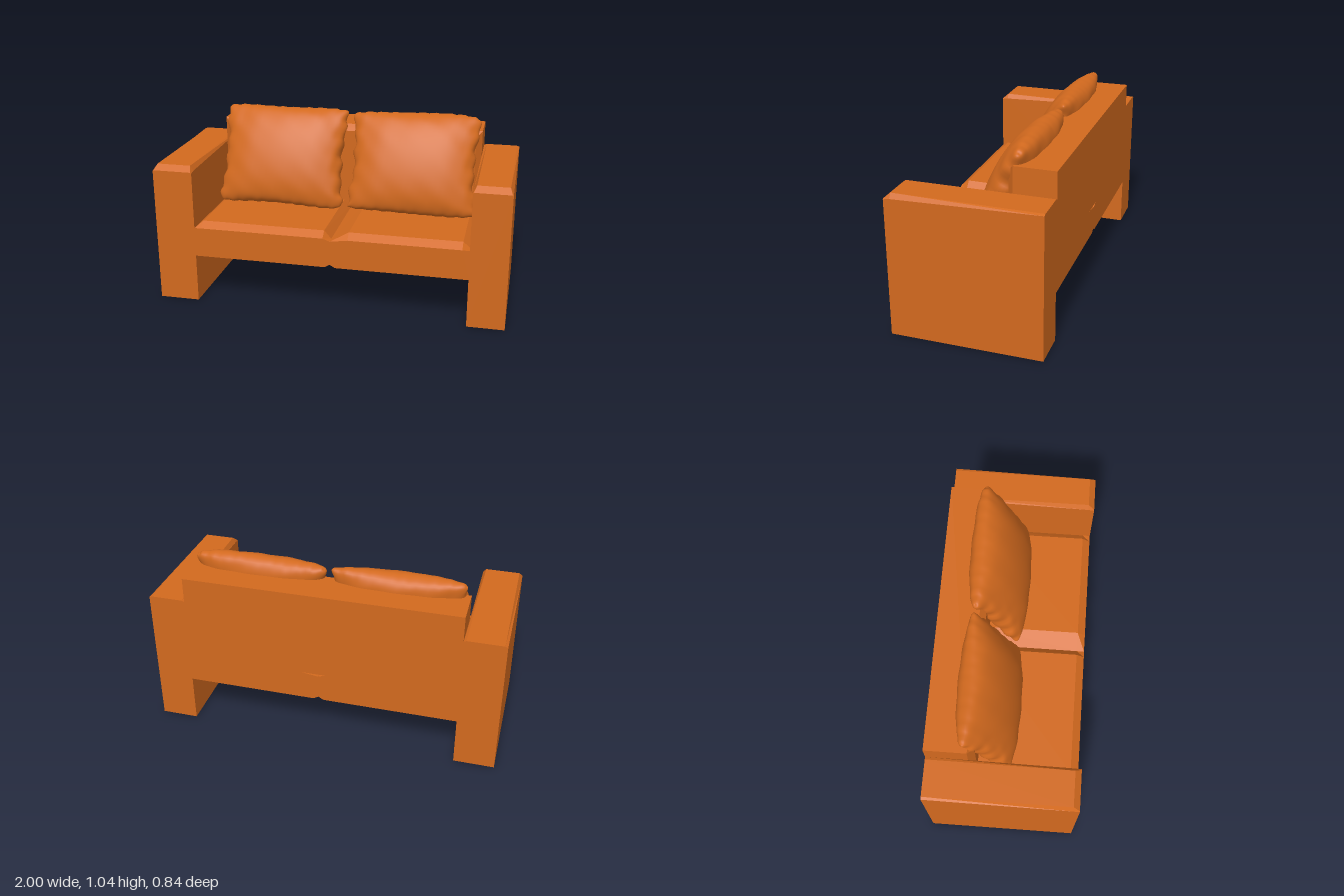
import * as THREE from 'three';
import { mergeGeometries, mergeVertices } from 'three/addons/utils/BufferGeometryUtils.js';

// Solid through outlines (anticlockwise, x/y) placed at increasing z, with flat faces
function loft(sections) {
  const pos = [];
  const put = (s, i) => {
    const p = s.pts[i % s.pts.length];
    pos.push(p[0], p[1], s.z);
  };
  for (let k = 0; k < sections.length - 1; k++) {
    const a = sections[k], b = sections[k + 1];
    for (let i = 0; i < a.pts.length; i++) {
      put(a, i); put(a, i + 1); put(b, i + 1);
      put(a, i); put(b, i + 1); put(b, i);
    }
  }
  const cap = (s, front) => {
    const contour = s.pts.map(p => new THREE.Vector2(p[0], p[1]));
    for (const [a, b, c] of THREE.ShapeUtils.triangulateShape(contour, [])) {
      for (const i of front ? [a, b, c] : [a, c, b]) put(s, i);
    }
  };
  cap(sections[0], false);
  cap(sections[sections.length - 1], true);
  const g = new THREE.BufferGeometry();
  g.setAttribute('position', new THREE.Float32BufferAttribute(pos, 3));
  g.computeVertexNormals();
  return g;
}

// Arm outline: edge is the height of the sides, inset narrows the top
const armOutline = (x0, x1, edge, top, inset) => [
  [x0, 0], [x1, 0], [x1, edge], [x1 - inset, top], [x0 + inset, top], [x0, edge],
];

function armGeometry(x0, x1) {
  return loft([
    { z: -0.42, pts: armOutline(x0, x1, 0.804, 0.81, 0.015) },
    { z: 0.385, pts: armOutline(x0, x1, 0.782, 0.81, 0.018) },
    { z: 0.42, pts: armOutline(x0, x1, 0.776, 0.78, 0.005) },
  ]);
}

// Seat outline with a seam between the two cushions, above and below
const seatOutline = top => [
  [-0.77, 0.28], [-0.01, 0.28], [0.02, 0.297], [0.05, 0.28], [0.79, 0.28],
  [0.79, 0.45], [0.75, top], [0.12, top], [0.02, 0.436], [-0.02, top], [-0.73, top], [-0.77, 0.45],
];

const backOutline = inset => [
  [-0.77 + inset, 0.45], [0.79 - inset, 0.45], [0.79 - inset, 0.95 - inset], [-0.77 + inset, 0.95 - inset],
];

// Plump pillow with pinched sides and lightly creased edges
function pillowGeometry(phase) {
  const side = sign => {
    const g = new THREE.PlaneGeometry(2, 2, 36, 36);
    const p = g.attributes.position;
    for (let i = 0; i < p.count; i++) {
      const u = Math.sin(p.getX(i) * Math.PI / 2) * sign;
      const v = Math.sin(p.getY(i) * Math.PI / 2);
      const puff = Math.pow(Math.max(0, (1 - u * u) * (1 - v * v)), 0.42);
      const rim = Math.pow(Math.max(Math.abs(u), Math.abs(v)), 8);
      const crease = rim * (0.007 * Math.sin(17 * v + 3 * u + phase) + 0.004 * Math.sin(31 * u - 9 * v + phase));
      const pinch = 1 - 0.1 * (1 - v * v) * u * u;
      const corner = 1 - 0.06 * u ** 6 * v ** 6;
      const x = 0.39 * u * pinch * corner + crease * Math.sign(u);
      const y = 0.3 * v * (1 - 0.04 * (1 - u * u) * v * v * (v < 0 ? 1 : -0.2)) * corner + crease * 0.7;
      const fold = 0.006 * Math.sin(13 * u + 5 * v + phase) * Math.sin(6 * v + phase) * puff * (u * u + v * v);
      p.setXYZ(i, x, y, sign * (0.125 * puff + fold));
    }
    g.deleteAttribute('uv');
    g.deleteAttribute('normal');
    return g;
  };
  const g = mergeVertices(mergeGeometries([side(1), side(-1)]), 1e-4);
  g.computeVertexNormals();
  return g;
}

export function createModel() {
  const group = new THREE.Group();
  group.name = 'sofa';
  const fabric = new THREE.MeshStandardMaterial({ color: 0xd2691e });
  fabric.name = 'orange fabric';

  const add = (name, geometry) => {
    const mesh = new THREE.Mesh(geometry, fabric);
    mesh.name = name;
    group.add(mesh);
    return mesh;
  };

  // Frame
  add('rightArm', armGeometry(-1, -0.77));
  add('leftArm', armGeometry(0.79, 1));
  add('seat', loft([
    { z: -0.42, pts: seatOutline(0.45) },
    { z: -0.2, pts: seatOutline(0.48) },
    { z: 0.375, pts: seatOutline(0.483) },
    { z: 0.42, pts: seatOutline(0.451) },
  ]));
  add('backrest', loft([
    { z: -0.42, pts: backOutline(0) },
    { z: -0.19, pts: backOutline(0) },
    { z: -0.155, pts: backOutline(0.035) },
  ]));

  // Pillows leaning on the backrest
  [['rightPillow', -0.378, 0.4], ['leftPillow', 0.405, 2.1]].forEach(([name, x, phase]) => {
    const pillow = add(name, pillowGeometry(phase));
    pillow.position.set(x, 0.752, -0.1);
    pillow.rotation.x = -0.42;
  });

  return group;
}
